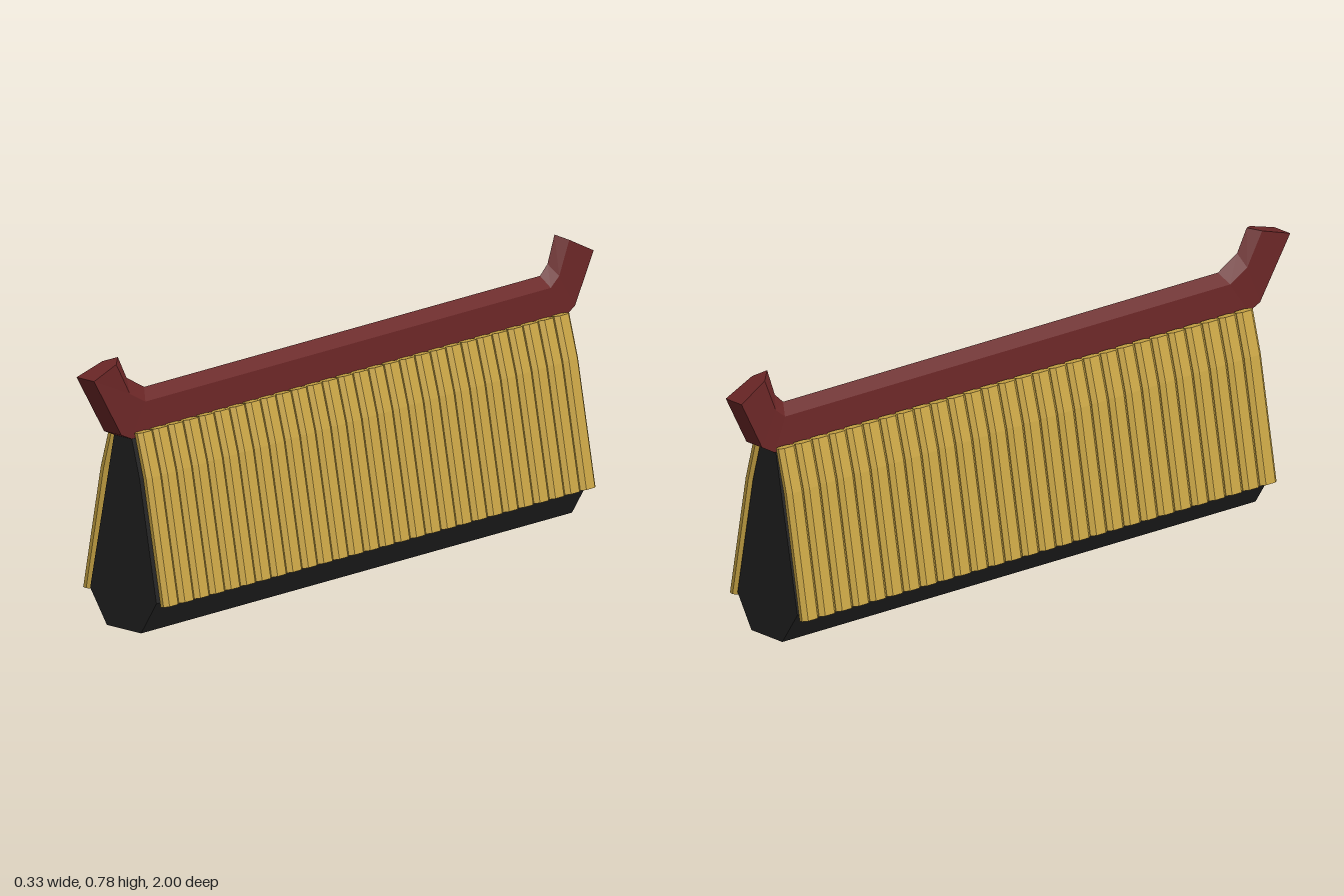
import * as THREE from 'three';

const material = (color) => new THREE.MeshStandardMaterial({ color, flatShading: true });

// Lofts a mirrored section along stations. Each station is [outer point, inner point],
// each section entry is [share of the way from first to second point, half width].
function loft(stations, section, place) {
  const ring = [...section.map(([t, w]) => [t, w]),
    ...section.slice().reverse().filter(([, w]) => w > 0).map(([t, w]) => [t, -w])];
  const n = ring.length;
  const rings = stations.map(([a, b]) => ring.map(([t, w]) =>
    place(a[0] + (b[0] - a[0]) * t, a[1] + (b[1] - a[1]) * t, w)));
  const tris = [];
  for (let s = 0; s + 1 < rings.length; s++) {
    for (let i = 0; i < n; i++) {
      const j = (i + 1) % n, p = rings[s], q = rings[s + 1];
      tris.push([p[i], p[j], q[j]], [p[i], q[j], q[i]]);
    }
  }
  const first = rings[0], last = rings[rings.length - 1];
  for (let i = 1; i + 1 < n; i++) {
    tris.push([first[0], first[i + 1], first[i]], [last[0], last[i], last[i + 1]]);
  }
  // turn the faces outwards
  let volume = 0;
  for (const [a, b, c] of tris) volume += a.dot(b.clone().cross(c));
  if (volume < 0) tris.forEach((t) => t.reverse());
  const geometry = new THREE.BufferGeometry().setFromPoints(tris.flat());
  geometry.computeVertexNormals();
  return geometry;
}

export function createModel() {
  const model = new THREE.Group();
  const gold = material(0xc9a545), red = material(0x6a2626), black = material(0x242424);

  // Core: faceted wedge running the whole length
  const profile = new THREE.Shape([
    [-0.057, 0], [0.072, 0], [0.13, 0.095], [0.066, 0.44], [0.037, 0.547],
    [-0.03, 0.547], [-0.12, 0.095],
  ].map(([x, y]) => new THREE.Vector2(x, y)));
  const core = new THREE.Mesh(
    new THREE.ExtrudeGeometry(profile, { depth: 1.725, bevelEnabled: false }), black);
  core.position.z = -0.875;
  core.name = 'roofCore';
  model.add(core);

  // Ridge beam with upturned ends: stations are [underside, crest] in (z, y)
  const ridge = new THREE.Mesh(loft([
    [[1, 0.74], [0.87, 0.778]],
    [[0.89, 0.565], [0.835, 0.712]],
    [[0.85, 0.547], [0.765, 0.672]],
    [[-0.88, 0.547], [-0.82, 0.672]],
    [[-0.925, 0.572], [-0.85, 0.7]],
    [[-1, 0.715], [-0.878, 0.778]],
  ], [[0, 0.033], [0.74, 0.026], [1, 0]],
  (z, y, w) => new THREE.Vector3(0.003 + w, y, z)), red);
  ridge.name = 'ridgeBeam';
  model.add(ridge);

  // Bent tile strips: stations are [outer, inner] in (x, y)
  const tilePath = [
    [[0.165, 0.09], [0.133, 0.085]],
    [[0.099, 0.445], [0.067, 0.44]],
    [[0.065, 0.567], [0.035, 0.562]],
  ];
  const tileSection = [[0, 0.017], [0.33, 0.03], [0.67, 0.03], [1, 0.018]];
  const count = 28, pitch = 0.0618;
  for (const side of [1, -1]) {
    const row = new THREE.Group();
    row.name = side > 0 ? 'leftTiles' : 'rightTiles';
    const geometry = loft(tilePath, tileSection, (x, y, w) => new THREE.Vector3(side * x, y, w));
    for (let i = 0; i < count; i++) {
      const tile = new THREE.Mesh(geometry, gold);
      tile.name = 'tile';
      tile.position.z = -0.02 + side * 0.003 + (i - (count - 1) / 2) * pitch;
      row.add(tile);
    }
    model.add(row);
  }
  return model;
}
